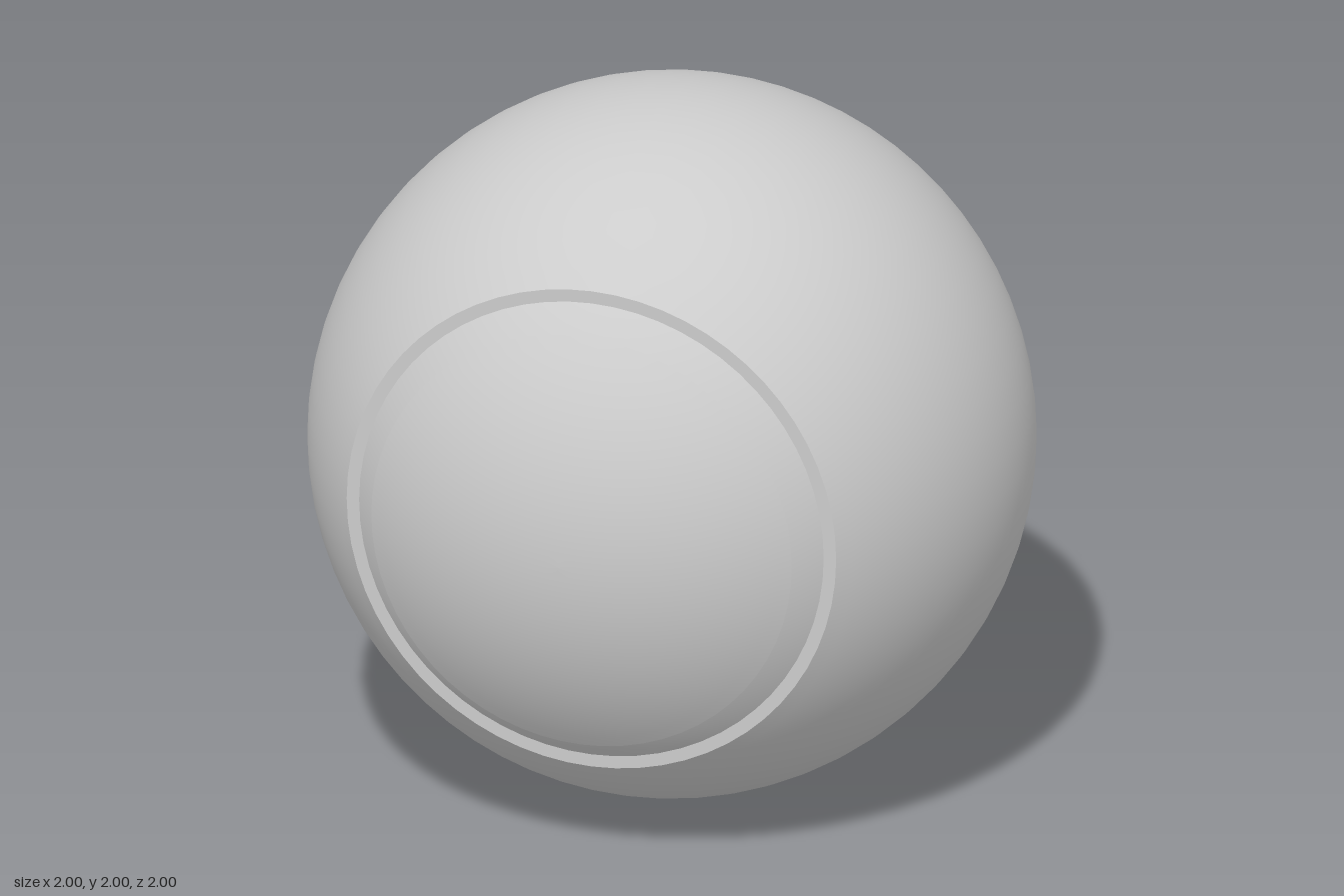
import * as THREE from 'three';

const SEGMENTS = 64;
const material = new THREE.MeshStandardMaterial({ color: 0xcccccc });

// Profile points [radius, height] along a circular arc between two heights
function arc(radius, from, to, steps) {
  const a = Math.asin(from / radius), b = Math.asin(to / radius);
  return Array.from({ length: steps + 1 }, (_, i) => {
    const t = a + (b - a) * i / steps;
    return [Math.max(0, radius * Math.cos(t)), radius * Math.sin(t)];
  });
}

// Turned part whose axis runs front to back
function turned(name, points) {
  const geometry = new THREE.LatheGeometry(points.map(([r, h]) => new THREE.Vector2(r, h)), SEGMENTS);
  geometry.rotateX(Math.PI / 2);
  const mesh = new THREE.Mesh(geometry, material);
  mesh.name = name;
  return mesh;
}

export function createModel() {
  const group = new THREE.Group();
  group.name = 'groovedBall';

  const bandZ = 0.708, bandR = Math.sqrt(1 - bandZ ** 2);
  const capZ = 0.795, capR = Math.sqrt(1 - capZ ** 2);
  const coreR = 0.975;

  // Wide outer band and the slightly smaller core seen in the grooves
  group.add(turned('outerBand', arc(1, -bandZ, bandZ, 32)));
  group.add(turned('innerCore', arc(coreR, -0.83, 0.83, 40)));

  // Each end: flat step of the band, domed cap and the cap's undercut rim
  for (const side of ['front', 'back']) {
    const end = new THREE.Group();
    end.name = side + 'End';
    end.add(
      turned('bandStep', [[bandR, bandZ], [0.64, bandZ]]),
      turned('cap', arc(1, capZ, 1, 16)),
      turned('capRim', [[0.55, 0.785], [0.592, 0.785], [capR, capZ]]),
    );
    if (side === 'back') end.rotation.y = Math.PI;
    group.add(end);
  }

  group.position.y = 1;
  const model = new THREE.Group();
  model.name = 'ball';
  model.add(group);
  return model;
}
